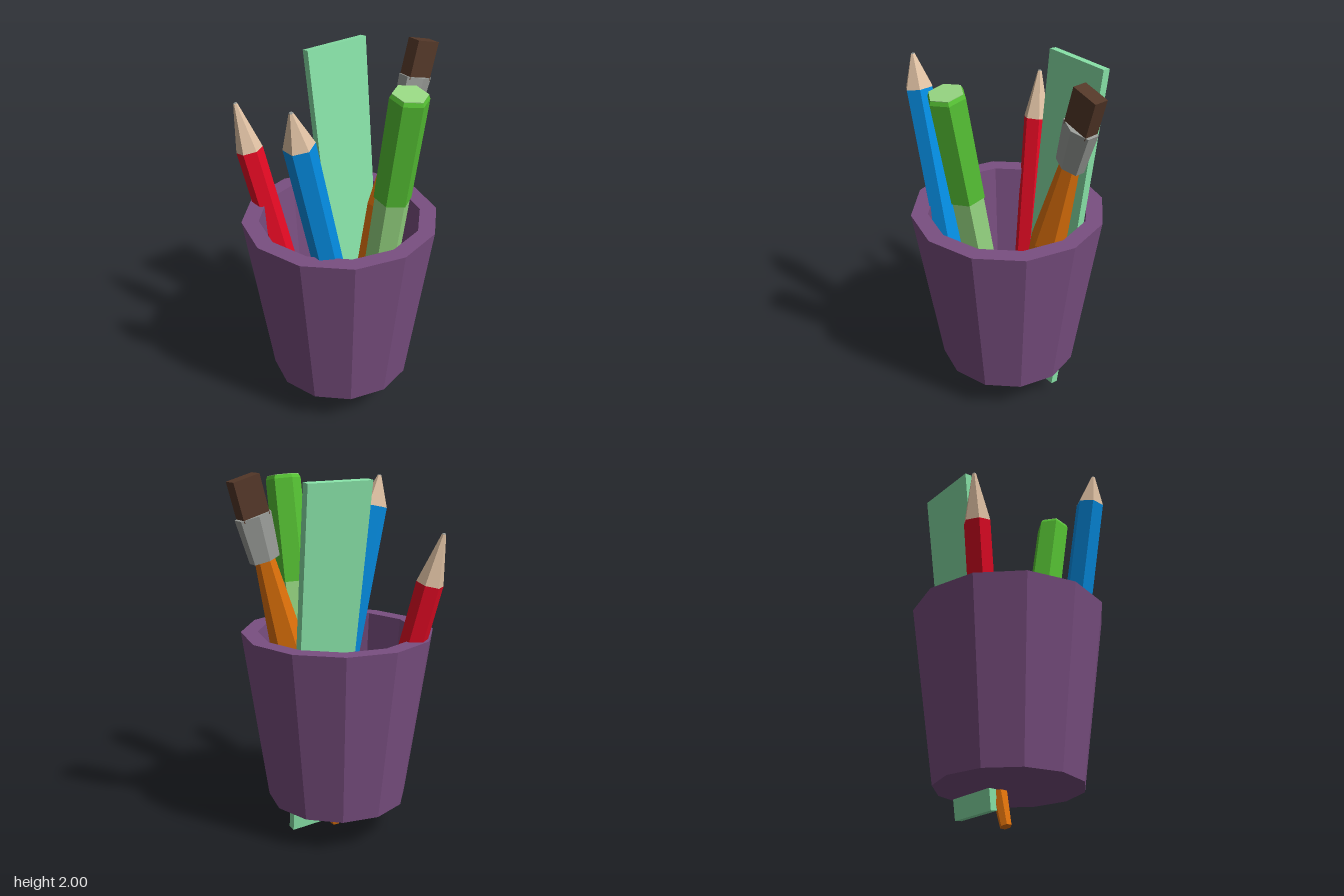
import * as THREE from 'three';

const mat = (name, color) => {
  const m = new THREE.MeshStandardMaterial({ color, flatShading: true });
  m.name = name;
  return m;
};

export function createModel() {
  const model = new THREE.Group();
  const purple = mat('purple', 0x7a4f81), blue = mat('blue', 0x048ee4), red = mat('red', 0xe40a24);
  const wood = mat('bareWood', 0xdfc1a3), green = mat('capGreen', 0x56c234), pale = mat('paleGreen', 0x98d883);
  const mint = mat('mint', 0x88e2a8), brown = mat('bristleBrown', 0x543829);
  const grey = mat('metalGrey', 0x999c98), orange = mat('orange', 0xe0720a);

  const addMesh = (parent, name, geo, material) => {
    const mesh = new THREE.Mesh(geo, material);
    mesh.name = name;
    parent.add(mesh);
    return mesh;
  };

  // A tilted tool: local y runs from foot to tip
  const tool = (name, foot, tip) => {
    const a = new THREE.Vector3(...foot), dir = new THREE.Vector3(...tip).sub(a);
    const g = new THREE.Group();
    g.name = name;
    g.position.copy(a);
    g.userData.length = dir.length();
    g.quaternion.setFromUnitVectors(new THREE.Vector3(0, 1, 0), dir.normalize());
    model.add(g);
    return g;
  };

  // Six-sided section from y0 to y1
  const hex = (parent, name, y0, y1, r0, r1, material) => {
    const geo = new THREE.CylinderGeometry(r1, r0, y1 - y0, 6);
    geo.translate(0, (y0 + y1) / 2, 0);
    return addMesh(parent, name, geo, material);
  };

  // Twelve-sided cup with a thick rim and a floor
  const profile = [[0, 0.196], [0.386, 0.196], [0.52, 1.147], [0.43, 1.147], [0.36, 0.28], [0, 0.28]];
  const cup = addMesh(model, 'cup',
    new THREE.LatheGeometry(profile.map(p => new THREE.Vector2(...p)), 12), purple);
  cup.position.x = -0.054;

  // Sharpened pencils
  const pencil = (name, foot, tip, r, cone, material) => {
    const g = tool(name, foot, tip), len = g.userData.length;
    hex(g, 'pencilBody', 0, len - cone, r, r, material);
    hex(g, 'sharpenedWood', len - cone, len - 0.004, r, 0.011, wood);
    hex(g, 'pencilLead', len - 0.004, len, 0.011, 0.009, grey);
  };
  pencil('bluePencil', [-0.133, 0.24, 0.242], [-0.508, 1.935, 0.242], 0.076, 0.175, blue);
  pencil('redPencil', [-0.15, 0.24, -0.187], [-0.357, 1.702, -0.485], 0.072, 0.265, red);

  // Capped marker with a bevelled top and a pale end plate
  const marker = tool('marker', [0.02, 0.24, 0.132], [0.02, 1.945, 0.424]);
  const ml = marker.userData.length;
  hex(marker, 'markerBarrel', 0, ml - 0.58, 0.09, 0.09, pale);
  hex(marker, 'markerCap', ml - 0.58, ml - 0.022, 0.096, 0.096, green);
  hex(marker, 'capBevel', ml - 0.022, ml - 0.003, 0.096, 0.087, green);
  hex(marker, 'markerEnd', ml - 0.003, ml, 0.087, 0.087, pale);

  // Paintbrush: swelling handle, flattened ferrule, block of bristles
  const brush = tool('paintbrush', [-0.038, 0.01, -0.01], [0.503, 1.98, -0.01]);
  const bl = brush.userData.length;
  hex(brush, 'lowerHandle', 0, 1.12, 0.03, 0.093, orange);
  hex(brush, 'upperHandle', 1.12, 1.64, 0.093, 0.05, orange);
  hex(brush, 'ferrule', 1.625, 1.855, 0.084, 0.1, grey).scale.z = 0.64;
  const bristles = new THREE.BoxGeometry(0.146, bl - 1.84, 0.076);
  bristles.translate(0, (bl + 1.84) / 2, 0);
  addMesh(brush, 'bristles', bristles, brown);

  // Ruler, slightly narrower at the foot
  const ruler = new THREE.BoxGeometry(0.376, 1.892, 0.042);
  const p = ruler.attributes.position;
  for (let i = 0; i < p.count; i++) if (p.getY(i) < 0) p.setX(i, p.getX(i) * 0.78);
  ruler.computeVertexNormals();
  const rulerMesh = addMesh(model, 'ruler', ruler, mint);
  rulerMesh.position.set(0.142, 1.027, -0.173);
  rulerMesh.rotation.x = -0.123;

  return model;
}
